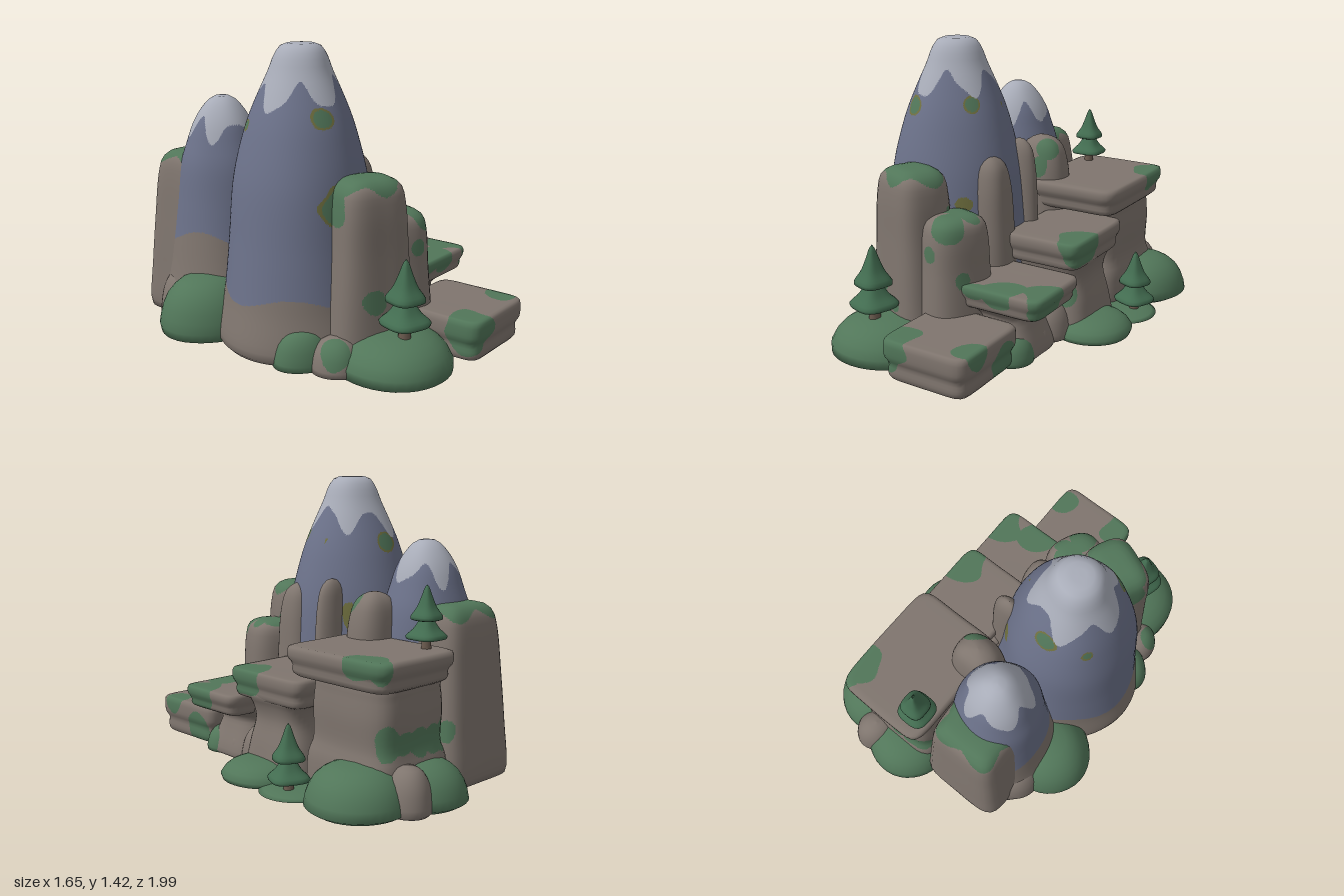
import * as THREE from 'three';

const mat = (name, color) => Object.assign(new THREE.MeshStandardMaterial({ color }), { name });
const ROT = 0.593; // the terraces run diagonally

export function createModel() {
  const model = new THREE.Group();
  const rock = mat('rock', 0x7f756e), moss = mat('moss', 0x517659), slate = mat('slate', 0x6b7189);
  const snow = mat('snow', 0xa8acb8), olive = mat('olive', 0x70703f);
  const leaf = mat('pineGreen', 0x426c50), bark = mat('bark', 0x6b5b4f);
  const palette = [rock, moss, slate, snow, olive];

  // moss patches: x, y, z, radius
  const patches = [
    [0, .67, -.8, .1], [-.06, .63, -.88, .06], [.43, .5, -.15, .12], [.14, .66, -.21, .05],
    [.66, .34, .13, .12], [.52, .36, .29, .1], [.45, .37, .42, .07],
    [.75, .2, .53, .08], [.46, .17, .81, .13], [.66, .07, .33, .1], [.4, .21, -.1, .06],
    [.02, .31, .68, .07], [.15, .2, .66, .05], [-.09, .72, .58, .08], [.32, .63, .47, .08], [.3, .5, .56, .04],
    [.22, .66, .36, .07], [-.06, .75, -.14, .07], [-.1, .83, -.23, .06], [-.17, .12, .77, .08],
    [-.12, .3, -.84, .07], [-.2, .29, -.79, .06], [-.27, .28, -.75, .07], [-.35, .28, -.69, .06], [-.42, .28, -.64, .07],
    [-.13, 1.1, .47, .045], [.07, 1.13, .25, .037], [.02, 1.12, .05, .025], [-.3, 1.1, .05, .05], [-.4, 1.05, .22, .03],
  ];
  const mossy = (p, grow) => patches.some(([x, y, z, r]) => Math.hypot(p.x - x, p.y - y, p.z - z)
    < grow * r * (1 + .12 * Math.sin(31 * p.x + 17 * p.z) + .08 * Math.sin(43 * p.y + 23 * p.x)));

  // closed form: rounded cross-section (power 2 = ellipse, high = box) swept up a smooth profile of [scale, y]
  function form(name, { x, z, rx, rz = rx, power = 2, rot = 0, profile, wobble = 0, seed = 0, seg = 64, rows = 36,
    paint = () => 0, floor = .004, under = 4, material }) {
    const curve = new THREE.CatmullRomCurve3(profile.map(([s, y]) => new THREE.Vector3(s * Math.max(rx, rz), y, 0)), false, 'centripetal');
    const pts = curve.getSpacedPoints(rows), c = Math.cos(rot), s = Math.sin(rot), pos = [], grid = [];
    for (const q of pts) for (let j = 0; j < seg; j++) {
      const t = j / seg * Math.PI * 2, ct = Math.cos(t), st = Math.sin(t);
      let r = Math.max(0, q.x) / Math.max(rx, rz) * (Math.abs(ct) ** power + Math.abs(st) ** power) ** (-1 / power);
      r *= 1 + wobble * (Math.sin(3 * t + seed + 2 * q.y) + .6 * Math.sin(5 * t + 2 * seed - 5 * q.y));
      const lx = r * rx * ct, lz = r * rz * st;
      pos.push(x + lx * c + lz * s, Math.max(floor, q.y), z - lx * s + lz * c);
    }
    for (let i = 0; i < rows; i++) for (let j = 0; j < seg; j++) {
      const k = (j + 1) % seg, a = i * seg + j, b = a + seg, d = i * seg + k;
      grid.push([a, b, d], [b, d + seg, d]);
    }
    const geo = new THREE.BufferGeometry();
    geo.setAttribute('position', new THREE.Float32BufferAttribute(pos, 3));
    geo.setIndex(grid.flat());
    geo.computeVertexNormals();

    if (!material) {
      // sort the faces by colour, splitting those that a colour edge crosses
      const nor = Array.from(geo.attributes.normal.array), bins = palette.map(() => []), index = [];
      const label = (p) => {
        if (mossy(p, 1)) return 1;
        const base = paint(p, Math.atan2(p.z - z, p.x - x));
        return base === 2 && mossy(p, 1.25) ? 4 : base;
      };
      const at = (i) => new THREE.Vector3().fromArray(pos, i * 3);
      const middle = (a, b) => {
        for (const list of [pos, nor]) for (let n = 0; n < 3; n++) list.push((list[a * 3 + n] + list[b * 3 + n]) / 2);
        return pos.length / 3 - 1;
      };
      const split = ([a, b, d], depth) => {
        const [p, q, r] = [a, b, d].map(at);
        if (Math.max(p.y, q.y, r.y) < floor + .001) return bins[under].push(a, b, d);
        const l = label(p);
        if (depth && (label(q) !== l || label(r) !== l)) {
          const e = middle(a, b), f = middle(b, d), g = middle(d, a);
          for (const part of [[a, e, g], [e, b, f], [g, f, d], [e, f, g]]) split(part, depth - 1);
        } else bins[label(p.add(q).add(r).divideScalar(3))].push(a, b, d);
      };
      for (const face of grid) split(face, 2);
      bins.forEach((list, m) => {
        if (list.length) geo.addGroup(index.length, list.length, m);
        for (const i of list) index.push(i);
      });
      geo.setAttribute('position', new THREE.Float32BufferAttribute(pos, 3));
      geo.setAttribute('normal', new THREE.Float32BufferAttribute(nor, 3));
      geo.setIndex(index);
    }
    const mesh = new THREE.Mesh(geo, material || palette);
    mesh.name = name;
    model.add(mesh);
  }

  // place along (b) and across (a) the diagonal
  const diagonal = (a, b) => ({
    x: a * Math.cos(ROT) + b * Math.sin(ROT), z: -a * Math.sin(ROT) + b * Math.cos(ROT), rot: ROT,
  });

  // two peaks with snow caps, slate walls and rocky feet
  form('mainPeak', {
    x: -.165, z: .24, rx: 1, seg: 90, rows: 60, wobble: .012, seed: 1,
    profile: [[0, 0], [.38, 0], [.41, .02], [.378, .25], [.35, .5], [.318, .8], [.27, 1], [.237, 1.1], [.195, 1.2], [.15, 1.3], [.118, 1.38], [.085, 1.418], [0, 1.425]],
    paint: (p, t) => p.y > 1.2 - .06 * Math.cos(5 * t) + .02 * Math.cos(t) + .012 * Math.sin(11 * t) ? 3
      : p.y > .28 + .03 * Math.sin(4 * t) ? 2 : 0,
  });
  form('smallPeak', {
    x: -.445, z: -.215, rx: 1, seg: 64, rows: 44, wobble: .015, seed: 3,
    profile: [[0, 0], [.32, 0], [.34, .02], [.29, .2], [.255, .43], [.235, .6], [.21, .8], [.18, .9], [.145, 1], [.095, 1.08], [.045, 1.125], [0, 1.13]],
    paint: (p, t) => p.y > .97 + .05 * Math.sin(5 * t + 1) + .02 * Math.sin(8 * t) ? 3
      : p.y > .44 + .04 * Math.sin(3 * t + 1) ? 2 : 0,
  });

  // terrace slabs: across from/to, along from/to, bottom, top
  const slabs = [
    [-.035, .465, -.815, -.165, .53, .67], [.06, .475, -.29, .22, .37, .51],
    [-.04, .487, .18, .585, .25, .36], [-.095, .36, .52, .98, .015, .21],
  ];
  for (const [a0, a1, b0, b1, y0, y1] of slabs) {
    const m = y0 + (y1 - y0) * .45;
    form('terraceSlab', {
      ...diagonal((a0 + a1) / 2, (b0 + b1) / 2), rx: (a1 - a0) / 2, rz: (b1 - b0) / 2, power: 9, seg: 88, rows: 40, wobble: .004,
      profile: [[0, y0], [.8, y0], [.9, y0 + .004], [.94, y0 + .03], [.93, m - .01], [.985, m + .015], [1, m + .03], [1, y1 - .02], [.975, y1 - .002], [.9, y1], [0, y1]],
    });
  }

  // rock pedestals under the terraces
  form('highPedestal', {
    ...diagonal(.2, -.52), rx: .23, rz: .265, power: 5, wobble: .018, seed: 2,
    profile: [[0, 0], [1, 0], [1.04, .03], [1.03, .18], [.95, .25], [.96, .4], [.93, .5], [.9, .56], [0, .56]],
  });
  form('middlePedestal', {
    ...diagonal(.25, -.05), rx: .18, rz: .17, power: 4, wobble: .02, seed: 4,
    profile: [[0, 0], [1.2, 0], [1.25, .03], [1.15, .15], [1, .28], [1.08, .35], [1.2, .4], [0, .4]],
  });
  form('lowPedestal', {
    ...diagonal(.19, .36), rx: .17, power: 3, wobble: .02, seed: 5,
    profile: [[0, 0], [1.15, 0], [1.15, .04], [.9, .16], [.85, .2], [1.1, .25], [1.15, .28], [0, .28]],
  });
  form('baseRock', {
    ...diagonal(-.02, .02), rx: .23, rz: .6, power: 3, wobble: .05, floor: 0, under: 0,
    profile: [[0, 0], [.97, 0], [1, .03], [.96, .12], [.8, .16], [0, .16]],
  });

  // rock columns around the peaks: x, z, rx, rz, height, power, moss line, roundness of the top
  const columns = [
    ['frontColumn', .05, .55, .18, .15, .855, 3.5, .805, 0],
    ['sideColumn', .235, .42, .15, .16, .66, 3, .65, 0],
    ['roundColumn', .11, .185, .12, .11, .885, 2.3, 9, .13],
    ['slimColumn', -.01, -.03, .1, .06, .925, 2.2, 9, .13],
    ['saddleColumn', -.18, -.24, .15, .12, .885, 2.4, 9, .13],
  ];
  columns.forEach(([name, x, z, rx, rz, h, power, line, round], i) => form(name, {
    x, z, rx, rz, power, rot: i < 2 ? .2 : ROT, wobble: .015, seed: i * 2, seg: 44,
    profile: [[0, 0], [1.15, 0], [1.18, .02], [1.1, h * .3], [1, h * .6], [.93 - round * .6, h * .85], [.82 - round * 1.4, h * .95], [.55 - round * 2, h * .992], [0, h]],
    paint: (p, t) => p.y > line + .025 * Math.sin(4 * t + i) ? 1 : 0,
  }));
  // the broad back cliff narrows as it rises
  form('backCliff', {
    ...diagonal(-.25, -.565), rx: .2, rz: .2, power: 6, wobble: .01, seed: 6,
    profile: [[0, 0], [1.15, 0], [1.2, .03], [1.14, .25], [1.04, .5], [.93, .72], [.83, .8], [.65, .835], [0, .845]],
    paint: (p, t) => p.y > .79 + .025 * Math.sin(5 * t) ? 1 : 0,
  });

  // bushes and boulders: x, z, rx, rz, height
  const dome = (name, colour, floor, x, z, rx, rz, h) => form(name, {
    x, z, rx, rz, floor, paint: () => colour, seg: 36, rows: 14, wobble: .008, seed: x * 20,
    profile: [[0, 0], [.97, 0], [1, .012], [.97, h * .3], [.82, h * .66], [.5, h * .92], [0, h]],
  });
  for (const d of [
    [.13, .7, .28, .295, .175], [-.58, .01, .25, .23, .28], [0, -.75, .24, .25, .21], [-.28, -.7, .235, .22, .2],
    [.36, -.255, .21, .21, .1], [.23, -.5, .185, .18, .035], [-.26, .58, .14, .11, .18], [.5, .24, .11, .11, .13],
  ]) dome('bush', 1, .002, ...d);
  for (const d of [
    [-.13, .68, .12, .12, .16], [.32, -.03, .13, .12, .2], [.4, .1, .11, .1, .15],
    [-.2, -.84, .11, .13, .21], [-.67, -.2, .12, .14, .24],
  ]) dome('boulder', 0, .004, ...d);

  // two-tier pines: x, z, ground, height, turn
  for (const [x, z, y, h, rot] of [[.15, .79, .165, .365, .3], [.28, -.55, .02, .32, .2], [-.34, -.6, .665, .295, ROT]]) {
    const trunk = new THREE.Mesh(new THREE.CylinderGeometry(h * .06, h * .085, h * .35, 12), bark);
    trunk.position.set(x, y + h * .13, z);
    trunk.name = 'pineTrunk';
    model.add(trunk);
    for (const [r, low, top] of [[.29, .17, .62], [.225, .46, 1]]) {
      const at = (f) => y + h * (low + (top - low) * f);
      form('pineTier', {
        x, z, rx: r * h, power: 3.2, rot, material: leaf, seg: 32, rows: 18,
        profile: [[0, at(.03)], [.9, at(0)], [1, at(.05)], [.92, at(.14)], [.62, at(.34)], [.34, at(.65)], [.12, at(.93)], [0, at(1)]],
      });
    }
  }
  return model;
}
